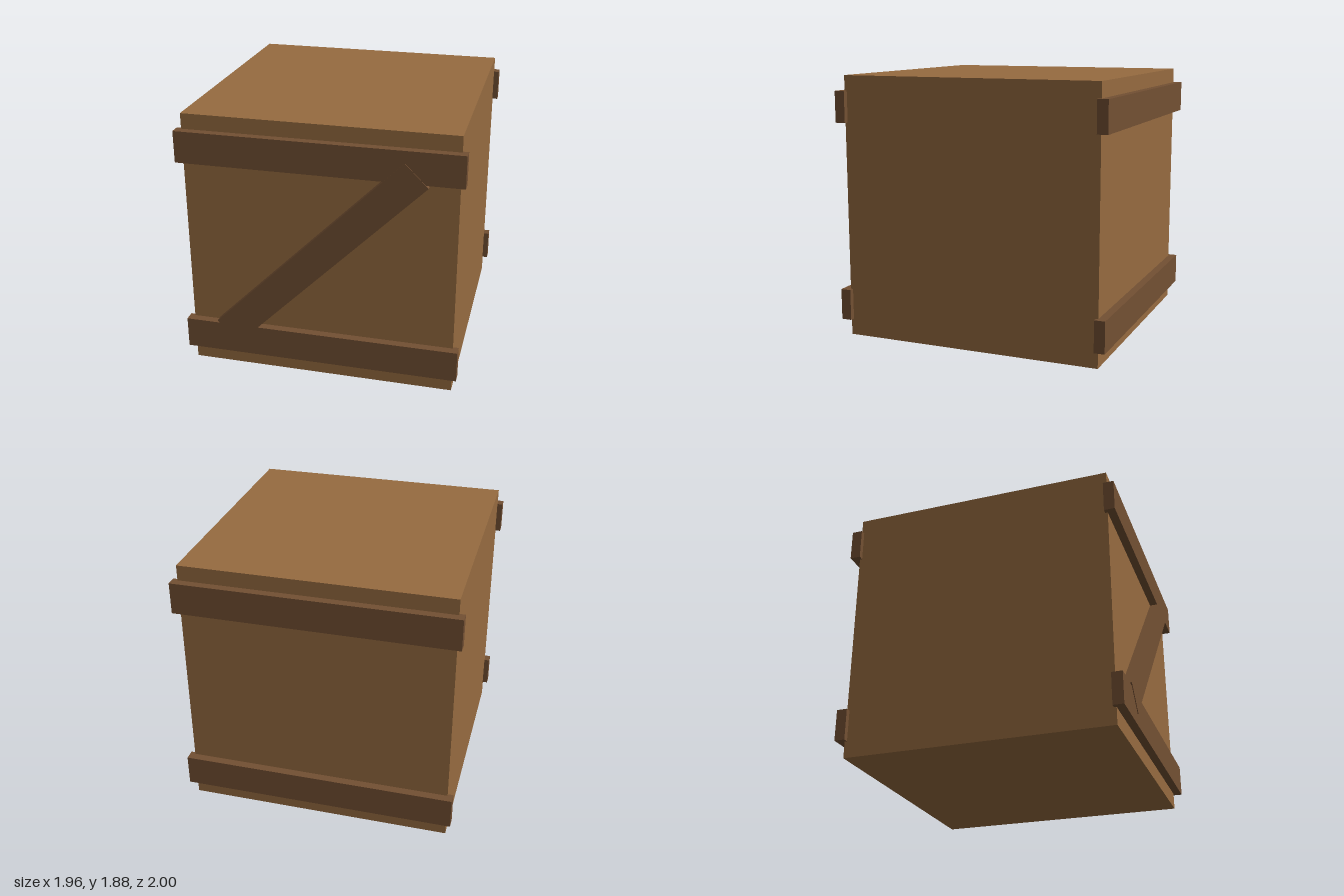
import * as THREE from 'three';

export function createModel() {
  const crate = new THREE.Group();
  crate.name = 'crate';
  const panelWood = new THREE.MeshStandardMaterial({ color: 0x966b40 });
  const slatWood = new THREE.MeshStandardMaterial({ color: 0x735033 });

  function addBox(name, size, position, material) {
    const mesh = new THREE.Mesh(new THREE.BoxGeometry(...size), material);
    mesh.name = name;
    mesh.position.set(...position);
    crate.add(mesh);
    return mesh;
  }

  // Body, set back very slightly so the proud brace ends at z = 1
  const side = 1.88, thickness = 0.075, slatWidth = 0.223, offsetZ = -0.0025;
  addBox('crateBody', [side, side, side], [0, side / 2, offsetZ], panelWood);

  // Horizontal slats, two on the front and two on the back
  for (const [face, sign] of [['front', 1], ['back', -1]]) {
    for (const [level, y] of [['Lower', 0.23], ['Upper', 1.66]]) {
      addBox(`${face}${level}Slat`, [1.955, slatWidth, thickness],
        [0, y, sign * 0.96 + offsetZ], slatWood);
    }
  }

  // Diagonal brace across the front, a hair proud of the slats
  const brace = addBox('frontBrace', [1.88, slatWidth, thickness],
    [0, 0.945, 1 - thickness / 2], slatWood);
  brace.rotation.z = Math.PI / 4;

  return crate;
}
